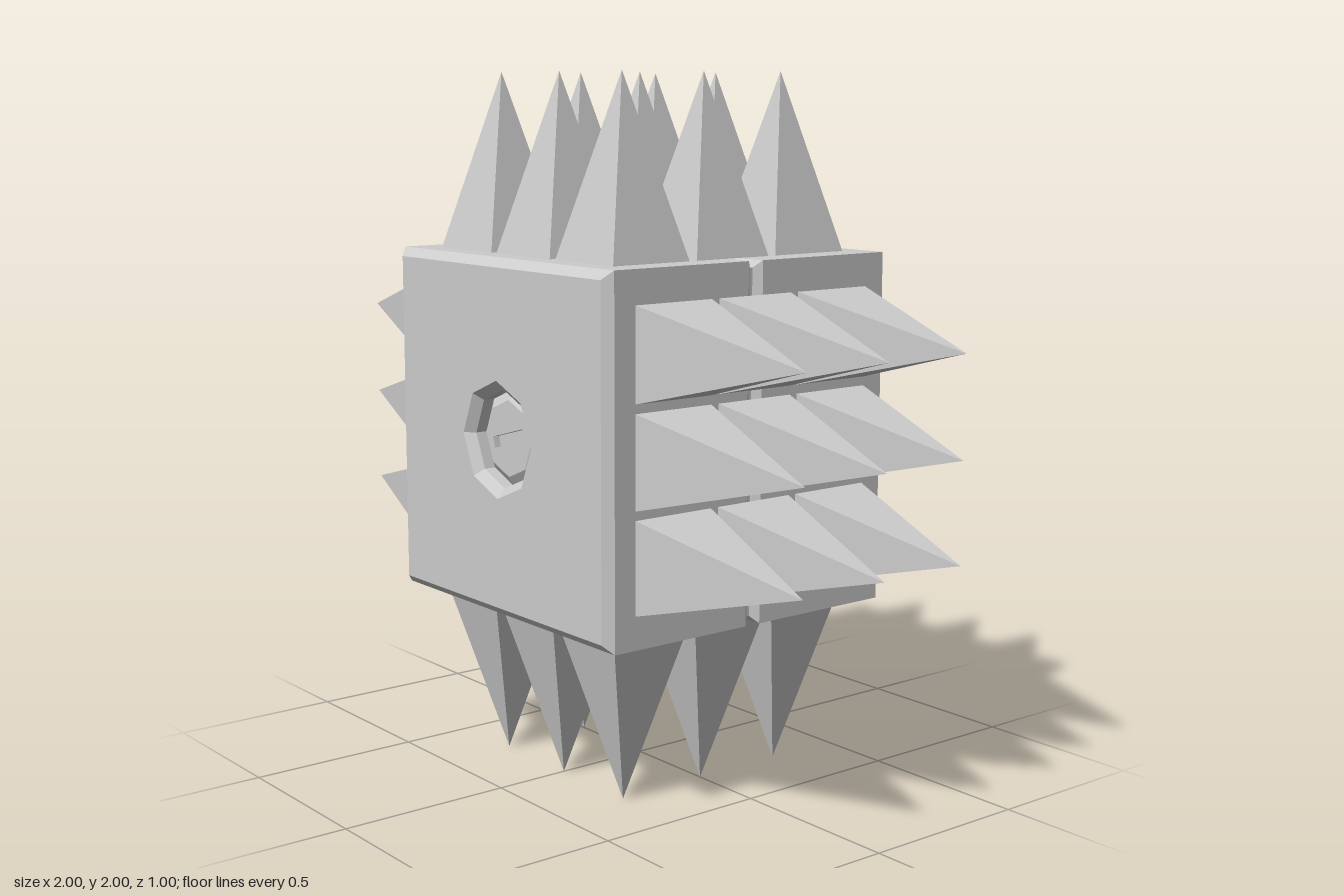
import * as THREE from 'three';

const material = new THREE.MeshStandardMaterial({ color: 0xcccccc, flatShading: true });

function addMesh(parent, name, geometry) {
  const mesh = new THREE.Mesh(geometry, material);
  mesh.name = name;
  parent.add(mesh);
  return mesh;
}

// Regular octagon with corners on the axes
function octagon(PathType, radius) {
  const points = [];
  for (let i = 0; i < 8; i++) {
    const a = (i * Math.PI) / 4;
    points.push(new THREE.Vector2(radius * Math.cos(a), radius * Math.sin(a)));
  }
  return new PathType(points);
}

function rectangle(PathType, w, h, angle = 0) {
  const corners = [[-w, -h], [w, -h], [w, h], [-w, h]];
  return new PathType(corners.map(([x, y]) =>
    new THREE.Vector2(x / 2, y / 2).rotateAround(new THREE.Vector2(), angle)));
}

// One chamfered half of the block with a countersunk hole and a slotted screw
function createHalf(name, slotAngle) {
  const half = new THREE.Group();
  half.name = name;

  const shape = rectangle(THREE.Shape, 0.95, 0.95);
  shape.holes.push(octagon(THREE.Path, 0.165));
  const shell = new THREE.ExtrudeGeometry(shape, {
    depth: 0.45, bevelSize: 0.025, bevelThickness: 0.025, bevelSegments: 1,
  });
  shell.translate(0, 0, 0.025);
  addMesh(half, 'halfBlock', shell);

  const headShape = octagon(THREE.Shape, 0.108);
  headShape.holes.push(rectangle(THREE.Path, 0.15, 0.032, slotAngle));
  const head = new THREE.ExtrudeGeometry(headShape, {
    depth: 0.03, bevelSize: 0.025, bevelThickness: 0.02, bevelSegments: 1,
  });
  // keep the slot walls open by only bevelling the outline
  head.dispose();
  const plate = new THREE.ExtrudeGeometry(headShape, { depth: 0.025, bevelEnabled: false });
  plate.translate(0, 0, 0.435);
  addMesh(half, 'screwHead', plate);

  // Sloped rim around the screw head
  const rim = new THREE.CylinderGeometry(0.108, 0.14, 0.02, 8, 1, true);
  rim.rotateX(Math.PI / 2).translate(0, 0, 0.45);
  addMesh(half, 'screwRim', rim);

  const floor = new THREE.CylinderGeometry(0.138, 0.138, 0.03, 8);
  floor.rotateX(Math.PI / 2).translate(0, 0, 0.425);
  addMesh(half, 'slotFloor', floor);
  return half;
}

// Three by three square spikes standing on a face
function createSpikes(name) {
  const panel = new THREE.Group();
  panel.name = name;
  const spike = new THREE.ConeGeometry(0.1275 * Math.SQRT2, 0.5, 4);
  spike.rotateY(Math.PI / 4).translate(0, 0.75, 0);
  for (const x of [-0.28, 0, 0.28]) {
    for (const z of [-0.28, 0, 0.28]) addMesh(panel, 'spike', spike).position.set(x, 0, z);
  }
  return panel;
}

export function createModel() {
  const model = new THREE.Group();
  model.name = 'spikedBlock';
  const body = new THREE.Group();
  body.name = 'body';
  body.position.y = 1;
  model.add(body);

  // Two halves meeting at a groove
  const front = createHalf('frontHalf', 0.27);
  const back = createHalf('backHalf', -0.27);
  back.rotation.y = Math.PI;
  body.add(front, back);
  addMesh(body, 'grooveCore', new THREE.BoxGeometry(0.96, 0.96, 0.05));

  // Spikes on the top, bottom and both sides
  ['topSpikes', 'leftSpikes', 'bottomSpikes', 'rightSpikes'].forEach((name, i) => {
    const panel = createSpikes(name);
    panel.rotation.z = (-i * Math.PI) / 2;
    body.add(panel);
  });
  return model;
}
